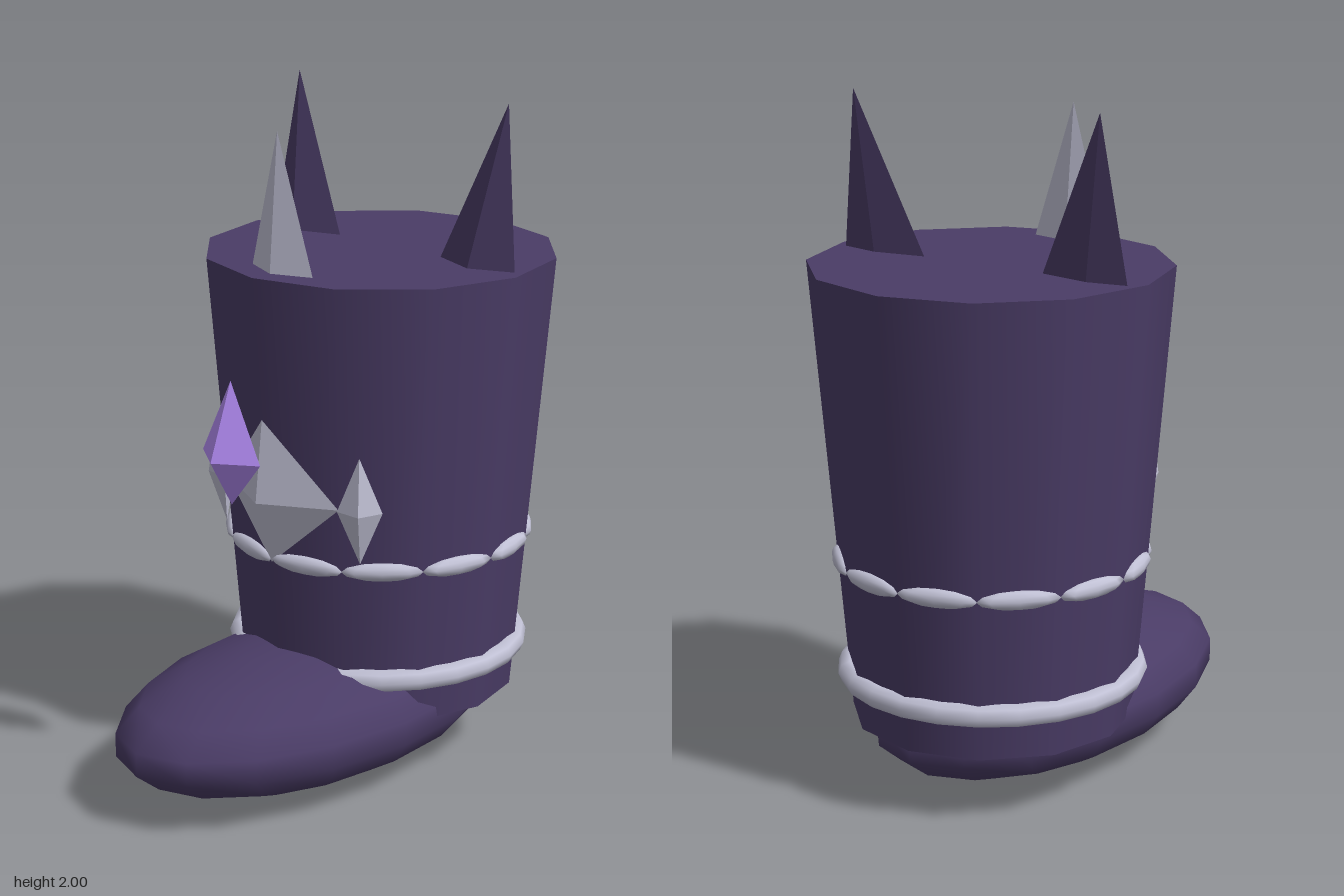
import * as THREE from 'three';

const purple = new THREE.MeshStandardMaterial({ color: 0x4a3c66 });
const silver = new THREE.MeshStandardMaterial({ color: 0xc0c0d4 });
const violet = new THREE.MeshStandardMaterial({ color: 0xb48cf5 });

const AXIS_Z = -0.235; // centre line of the shaft
const BOTTOM = 0.21, TOP = 1.535;
const shaftRadius = (y) => 0.41 + (0.11 * (y - BOTTOM)) / (TOP - BOTTOM);
const LEAN = Math.atan(0.11 / (TOP - BOTTOM)); // outward slope of the shaft wall

// Eight-sided crystal from its six corners: +x, -x, top, bottom, front, back
function crystal(px, nx, top, bottom, front, back) {
  const points = [];
  for (const sx of [1, -1]) for (const sy of [1, -1]) for (const sz of [1, -1]) {
    const a = sx > 0 ? px : nx, b = sy > 0 ? top : bottom, c = sz > 0 ? front : back;
    points.push(...a, ...(sx * sy * sz > 0 ? [...b, ...c] : [...c, ...b]));
  }
  const geometry = new THREE.BufferGeometry();
  geometry.setAttribute('position', new THREE.Float32BufferAttribute(points, 3));
  geometry.computeVertexNormals();
  return geometry;
}

export function createModel() {
  const model = new THREE.Group();
  model.name = 'boot';
  const add = (name, geometry, material, parent = model) => {
    const mesh = new THREE.Mesh(geometry, material);
    mesh.name = name;
    parent.add(mesh);
    return mesh;
  };

  // Flared shaft with closed top
  add('shaft', new THREE.CylinderGeometry(0.52, 0.41, TOP - BOTTOM, 12), purple)
    .position.set(0, (TOP + BOTTOM) / 2, AXIS_Z);

  // Flattened egg-shaped foot
  const foot = add('foot', new THREE.SphereGeometry(1, 16, 9), purple);
  foot.scale.set(0.396, 0.203, 0.705);
  foot.position.set(0, 0.206, 0.055);

  // Ankle ring
  const ring = add('ankleRing', new THREE.TorusGeometry(0.417, 0.034, 8, 24), silver);
  ring.rotation.x = Math.PI / 2;
  ring.position.set(0, 0.345, AXIS_Z);

  // Band of twelve long beads, one on each flat of the shaft
  const band = new THREE.Group();
  band.name = 'beadBand';
  band.position.set(0, 0.688, AXIS_Z);
  model.add(band);
  const beadGeometry = new THREE.SphereGeometry(1, 8, 6);
  const beadRadius = shaftRadius(0.688) * Math.cos(Math.PI / 12);
  for (let i = 0; i < 12; i++) {
    const angle = ((i + 0.5) * Math.PI) / 6;
    const bead = add('bead', beadGeometry, silver, band);
    bead.scale.set(0.118, 0.028, 0.026);
    bead.position.set(Math.sin(angle) * beadRadius, 0, Math.cos(angle) * beadRadius);
    bead.rotation.y = angle;
  }

  // Wide front plate wrapped back around the shaft
  add('frontPlate', crystal(
    [0.3, 0.88, 0.135], [-0.3, 0.88, 0.135],
    [0, 1.115, 0.25], [0, 0.65, 0.205],
    [0, 0.87, 0.277], [0, 0.88, 0.18]), silver);

  // Small crystals either side of the plate
  const sideGeometry = crystal(
    [0.065, 0, 0], [-0.065, 0, 0], [0, 0.165, 0], [0, -0.16, 0], [0, 0, 0.04], [0, 0, -0.04]);
  for (const side of [1, -1]) {
    const angle = side * 0.645;
    const mesh = add('sideCrystal', sideGeometry, silver);
    mesh.position.set(Math.sin(angle) * 0.472, 0.878, AXIS_Z + Math.cos(angle) * 0.472);
    mesh.rotation.set(LEAN, angle, 0, 'YXZ');
  }

  // Floating gem in front of the plate
  add('gem', crystal(
    [0.117, 1.03, 0.37], [-0.117, 1.03, 0.37],
    [0, 1.255, 0.37], [0, 0.89, 0.37],
    [0, 1.03, 0.45], [0, 1.03, 0.336]), violet);

  // Spike at the front of the top
  const base = TOP - 0.005;
  add('frontSpike', crystal(
    [0.122, base, 0.165], [-0.122, base, 0.165],
    [0, 1.935, 0.183], [0, base, 0.175],
    [0, base, 0.215], [0, base, 0.14]), silver);

  // Pair of outward leaning ears
  for (const side of [1, -1]) {
    const outer = [side * 0.48, base, -0.277], inner = [side * 0.2, base, -0.273];
    add(side > 0 ? 'leftEar' : 'rightEar', crystal(
      side > 0 ? outer : inner, side > 0 ? inner : outer,
      [side * 0.413, 2, -0.315], [side * 0.35, base, -0.265],
      [side * 0.35, base, -0.22], [side * 0.36, base, -0.3]), purple);
  }

  return model;
}
